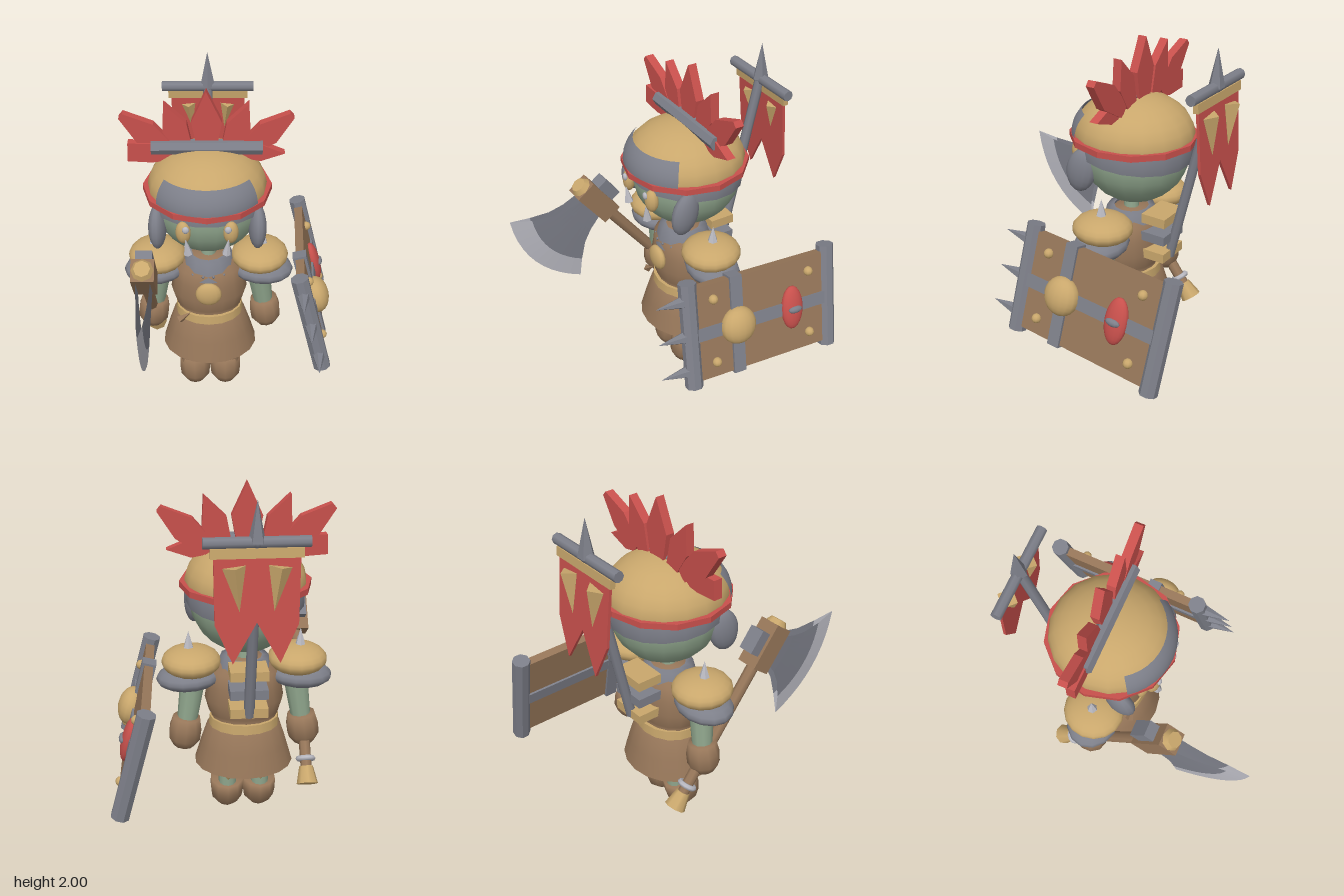
import * as THREE from 'three';

const mat = (name, color, side = THREE.FrontSide) => {
  const m = new THREE.MeshStandardMaterial({ color, side });
  m.name = name;
  return m;
};
const V = (x, y, z) => new THREE.Vector3(x, y, z);

export function createModel() {
  const model = new THREE.Group();
  model.name = 'goblinWarrior';
  const gold = mat('gold', 0xc9a76c), green = mat('skin green', 0x8fa58c), red = mat('red', 0xc8504c);
  const brown = mat('leather brown', 0x967659, THREE.DoubleSide);
  const grey = mat('iron grey', 0x7d7f89, THREE.DoubleSide);
  const pale = mat('pale steel', 0xbcbcc4, THREE.DoubleSide);
  const CX = -0.125;

  // Helpers
  const add = (parent, name, geo, m, x = 0, y = 0, z = 0, rx = 0, ry = 0, rz = 0) => {
    const mesh = new THREE.Mesh(geo, m);
    mesh.name = name;
    mesh.position.set(x, y, z);
    mesh.rotation.set(rx, ry, rz);
    parent.add(mesh);
    return mesh;
  };
  const group = (parent, name, x = 0, y = 0, z = 0) => {
    const g = new THREE.Group();
    g.name = name;
    g.position.set(x, y, z);
    parent.add(g);
    return g;
  };
  const flat = (geo) => {
    const g = geo.index ? geo.toNonIndexed() : geo;
    g.computeVertexNormals();
    return g;
  };
  const box = (w, h, d) => new THREE.BoxGeometry(w, h, d);
  const cyl = (rt, rb, h, n = 12) => new THREE.CylinderGeometry(rt, rb, h, n);
  const ball = (rx, ry, rz, n = 14) => new THREE.SphereGeometry(1, n, Math.ceil(n * 0.7)).scale(rx, ry, rz);
  const cone = (r, h, n = 6) => flat(new THREE.ConeGeometry(r, h, n));
  const lathe = (pts, n = 16, sz = 1) =>
    new THREE.LatheGeometry(pts.map((p) => new THREE.Vector2(p[0], p[1])), n).scale(1, 1, sz);
  const plate = (pts, depth) => new THREE.ExtrudeGeometry(
    new THREE.Shape(pts.map((p) => new THREE.Vector2(p[0], p[1]))), { depth, bevelEnabled: false }).translate(0, 0, -depth / 2);
  const rod = (parent, name, a, b, ra, rb, m, n = 10) => {
    const d = b.clone().sub(a), c = a.clone().add(b).multiplyScalar(0.5);
    const mesh = add(parent, name, cyl(rb, ra, d.length(), n), m, c.x, c.y, c.z);
    mesh.quaternion.setFromUnitVectors(V(0, 1, 0), d.normalize());
    return mesh;
  };

  // Head, hair and cap
  const head = group(model, 'head', CX, 0, -0.145);
  add(head, 'face', ball(0.312, 0.31, 0.315, 18), green, 0, 1.34, -0.01);
  add(head, 'hair', new THREE.SphereGeometry(0.328, 18, 3, 0, Math.PI * 2, 1.25, 0.42), grey, 0, 1.35, -0.008, -0.09);
  add(head, 'cap', new THREE.SphereGeometry(1, 18, 8, 0, Math.PI * 2, 0, 1.72).scale(0.333, 0.23, 0.342), gold, 0, 1.43, 0);
  add(head, 'browPad', new THREE.SphereGeometry(1, 12, 5, Math.PI / 2 - 0.93, 1.86, 0.98, 0.58).scale(0.345, 0.24, 0.352),
    grey, 0, 1.43, 0);
  add(head, 'headband', flat(lathe([[0.32, -0.017], [0.362, -0.017], [0.362, 0.017], [0.32, 0.017], [0.32, -0.017]], 12)),
    red, 0, 1.415, 0);
  for (const s of [-1, 1]) {
    add(head, 'earFlap', ball(0.05, 0.13, 0.088), grey, s * 0.278, 1.255, 0.165, -0.2, s * 0.15);
    add(head, 'eye', ball(0.043, 0.068, 0.035, 12), gold, s * 0.13, 1.3, 0.292, 0, s * 0.3);
    add(head, 'eyeGlint', ball(0.02, 0.022, 0.012, 8), pale, s * 0.115, 1.335, 0.325);
    add(head, 'tusk', cone(0.026, 0.11), pale, s * 0.112, 1.225, 0.315, 0.12, 0, -s * 0.12);
  }

  // Feather crest: base x, base y, tip x, tip y, half width, tip bluntness
  const crest = group(model, 'crest', CX, 0, -0.167);
  const feathers = [
    [0, 1.6, 0, 1.985, 0.083, 0], [-0.11, 1.61, -0.23, 1.915, 0.07, 0], [0.11, 1.61, 0.23, 1.915, 0.07, 0],
    [-0.19, 1.62, -0.462, 1.845, 0.072, 0.018], [0.19, 1.62, 0.462, 1.845, 0.072, 0.018],
    [-0.15, 1.62, -0.435, 1.632, 0.058, 0.055], [0.15, 1.63, 0.428, 1.622, 0.05, 0],
  ];
  for (const [bx, by, tx, ty, w, blunt] of feathers) {
    const len = Math.hypot(tx - bx, ty - by);
    add(crest, 'feather', plate([[-w * 0.55, 0], [w * 0.55, 0], [w, len * 0.53], [blunt, len], [-blunt, len], [-w, len * 0.53]], 0.05),
      red, bx, by, -(ty - 1.6) * 0.05, 0, 0, -Math.atan2(tx - bx, ty - by));
  }
  add(crest, 'crestBar', flat(cyl(0.042, 0.042, 0.61, 6)), grey, 0, 1.66, 0.013, 0, 0, Math.PI / 2);

  // Torso, collar, belt and skirt
  const body = group(model, 'body', CX, 0, -0.135);
  add(body, 'neck', cyl(0.035, 0.05, 0.16), green, 0, 0.99, 0);
  add(body, 'tunic', lathe([[0.19, 0.54], [0.188, 0.62], [0.2, 0.64], [0.226, 0.73], [0.21, 0.82], [0.2, 0.9], [0.12, 0.97], [0, 0.98]], 16, 0.8), brown);
  add(body, 'collar', lathe([[0.17, 0.86], [0.14, 0.975], [0.1, 0.98]], 12), grey);
  for (const x of [-0.09, -0.03, 0.03, 0.09]) add(body, 'collarRivet', ball(0.009, 0.009, 0.009, 6), grey, x, 0.9, Math.sqrt(0.16 ** 2 - x * x));
  add(body, 'medallion', ball(0.077, 0.077, 0.035), gold, 0, 0.79, 0.175);
  add(body, 'belt', cyl(0.198, 0.202, 0.055, 16).scale(1, 1, 0.86), gold, 0, 0.585, 0);
  add(body, 'skirt', lathe([[0.285, 0.32], [0.25, 0.44], [0.212, 0.555], [0.18, 0.56]], 18, 0.88), brown);
  add(body, 'beltHook', cone(0.025, 0.09, 4), brown, -0.14, 0.61, 0.15, 0, 0, -0.9);

  // Legs, arms and shoulders, mirrored
  for (const s of [-1, 1]) {
    const leg = group(model, 'leg', CX + s * 0.095, 0, -0.115);
    add(leg, 'thighGuard', cyl(0.095, 0.092, 0.2), brown, 0, 0.355, -0.005);
    add(leg, 'kneeGuard', cyl(0.09, 0.085, 0.12).scale(1, 1, 0.6), brown, 0, 0.225, 0.03);
    add(leg, 'shin', cyl(0.052, 0.052, 0.2), green, 0, 0.22, -0.045);
    add(leg, 'boot', lathe([[0, -0.1], [0.055, -0.095], [0.092, -0.045], [0.1, 0.02], [0.097, 0.085], [0, 0.085]], 10, 1.08), brown,
      0, 0.107, 0.005, -0.2);
    add(leg, 'kneeSpur', cone(0.035, 0.1, 4), gold, 0, 0.275, -0.12, -0.9);

    const arm = group(model, 'arm', CX, 0, -0.14);
    rod(arm, 'upperArm', V(s * 0.29, 0.86, 0), V(s * 0.335, 0.55, -0.02), 0.072, 0.055, green);
    add(arm, 'glove', lathe([[0, -0.1], [0.06, -0.095], [0.092, -0.045], [0.094, 0.02], [0.08, 0.085], [0, 0.09]], 10), brown,
      s * 0.34, 0.53, -0.02, 0, 0, s * 0.12);
    add(arm, 'pauldronRim', ball(0.185, 0.072, 0.15), grey, s * 0.315, 0.86, 0, 0, 0, -s * 0.06);
    add(arm, 'pauldron', ball(0.168, 0.085, 0.172, 16), gold, s * 0.3, 0.955, 0);
    add(arm, 'pauldronSpike', cone(0.036, 0.12), pale, s * 0.315, 1.075, 0);
  }

  // Axe, local y along the handle and local z towards the edge
  const axe = group(model, 'axe', -0.47, 1.09, 0.27);
  axe.rotation.x = 0.655;
  add(axe, 'handle', cyl(0.035, 0.032, 0.95, 8), brown, 0, -0.55, 0);
  for (const y of [-0.67, -0.9]) add(axe, 'gripRing', new THREE.TorusGeometry(0.042, 0.016, 6, 12), pale, 0, y, 0, Math.PI / 2);
  add(axe, 'pommel', cyl(0.04, 0.062, 0.1, 8), gold, 0, -0.995, 0);
  add(axe, 'headBlock', box(0.127, 0.27, 0.126), brown, 0, -0.005, 0);
  add(axe, 'headCap', cyl(0.045, 0.062, 0.03, 8), gold, 0, 0.145, 0);
  add(axe, 'hammer', box(0.092, 0.138, 0.07), grey, 0, -0.003, -0.095);
  // Each blade section: half height, z at the tips, bulge in the middle, half thickness
  const blade = (rows, n = 10) => {
    const pos = [], idx = [];
    for (const side of [-1, 1]) {
      const start = pos.length / 3;
      rows.forEach(([h, z, bulge, t]) => {
        for (let i = 0; i <= n; i++) {
          const u = (i / n) * 2 - 1;
          pos.push(side * t, u * h, z + bulge * (1 - u * u));
        }
      });
      for (let r = 0; r < rows.length - 1; r++) for (let i = 0; i < n; i++) {
        const a = start + r * (n + 1) + i, b = a + n + 1;
        if (side > 0) idx.push(a, a + 1, b, b, a + 1, b + 1);
        else idx.push(a, b, a + 1, b, b + 1, a + 1);
      }
    }
    const g = new THREE.BufferGeometry();
    g.setAttribute('position', new THREE.Float32BufferAttribute(pos, 3));
    g.setIndex(idx);
    return flat(g);
  };
  add(axe, 'blade', blade([[0.09, 0.06, 0, 0.04], [0.115, 0.15, 0.01, 0.034], [0.16, 0.235, 0.035, 0.026], [0.242, 0.328, 0.065, 0.017]]), grey);
  add(axe, 'cuttingEdge', blade([[0.242, 0.328, 0.065, 0.017], [0.338, 0.415, 0.095, 0.001]]), pale);

  // Shield, local x outward, y up, z forward
  const shield = group(model, 'shield', 0.49, 0.655, -0.28);
  const up = V(-0.16, 0.63, -0.04).normalize(), out = up.clone().cross(V(-0.045, 0.055, 0.91)).normalize();
  shield.quaternion.setFromRotationMatrix(new THREE.Matrix4().makeBasis(out, up, out.clone().cross(up)));
  add(shield, 'board', box(0.05, 0.575, 0.86), brown);
  add(shield, 'crossStrap', box(0.075, 0.075, 0.86), grey);
  add(shield, 'uprightStrap', box(0.08, 0.6, 0.075), grey, 0, 0, 0.17);
  for (const s of [-1, 1]) {
    add(shield, 'endBar', flat(cyl(0.052, 0.052, 0.64, 8).rotateY(Math.PI / 8)), grey, 0, 0, s * 0.455);
    for (const y of [-0.195, 0.195]) add(shield, 'rivet', ball(0.03, 0.028, 0.028, 10), gold, 0.03, y, s * 0.315);
  }
  add(shield, 'boss', ball(0.075, 0.112, 0.108, 16), gold, 0.04, 0, 0.17);
  add(shield, 'redOval', ball(0.04, 0.135, 0.07, 16), red, 0.035, 0, -0.195);
  add(shield, 'ovalSlit', ball(0.02, 0.022, 0.046, 10), grey, 0.07, 0, -0.195);
  for (const y of [-0.215, 0, 0.215]) add(shield, 'spike', cone(0.038, 0.17), grey, 0, y, 0.57, Math.PI / 2);

  // Banner on the back
  const banner = group(model, 'banner', CX, 0, 0);
  rod(banner, 'pole', V(0, 0.73, -0.4), V(0, 1.8, -0.64), 0.03, 0.028, grey, 8);
  add(banner, 'spearTip', cone(0.046, 0.21, 5), grey, 0, 1.895, -0.64);
  add(banner, 'spearSocket', ball(0.035, 0.03, 0.035, 8), grey, 0, 1.79, -0.64);
  add(banner, 'crossbar', cyl(0.03, 0.03, 0.53, 8), grey, 0, 1.79, -0.64, 0, 0, Math.PI / 2);
  for (const [y, m] of [[0.97, gold], [0.86, grey], [0.75, gold]]) add(banner, 'poleBracket', box(0.21, 0.055, 0.15), m, 0, y, -0.345);
  const cloth = group(banner, 'cloth', 0, 1.76, -0.65);
  cloth.rotation.x = 0.08;
  add(cloth, 'flag', plate([[-0.215, 0], [-0.21, -0.38], [-0.12, -0.585], [0, -0.37], [0.12, -0.585], [0.21, -0.38], [0.215, 0]], 0.016), red);
  add(cloth, 'flagTrim', box(0.46, 0.05, 0.03), gold, 0, -0.02, 0);
  for (const s of [-1, 1]) add(cloth, 'flagFang', cone(0.058, 0.23, 4), gold, s * 0.1, -0.2, -0.01, Math.PI, 0, s * 0.12);

  return model;
}
